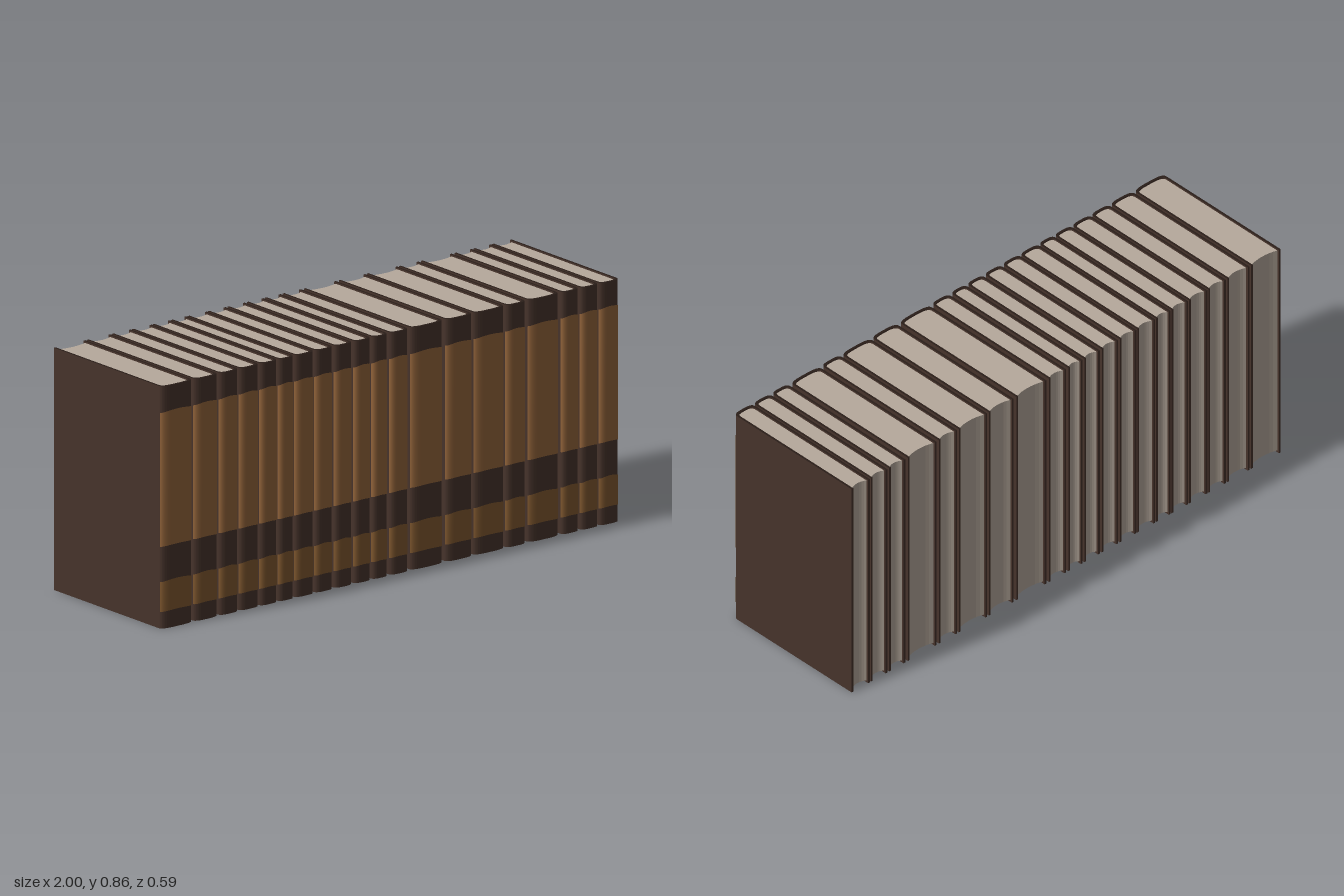
import * as THREE from 'three';

const mat = (name, color, side = THREE.FrontSide) => {
  const m = new THREE.MeshStandardMaterial({ color, side });
  m.name = name;
  return m;
};

const HEIGHT = 0.862, BACK = -0.295, SHOULDER = 0.268, ROUND = 0.025, BOARD = 0.008;

// left and right edge of every volume along the row
const EDGES = [
  [-1, -0.862], [-0.855, -0.752], [-0.745, -0.663], [-0.658, -0.573], [-0.568, -0.492],
  [-0.487, -0.42], [-0.415, -0.332], [-0.327, -0.25], [-0.242, -0.166], [-0.157, -0.085],
  [-0.077, -0.01], [0, 0.08], [0.092, 0.232], [0.245, 0.36], [0.368, 0.5],
  [0.508, 0.593], [0.604, 0.738], [0.75, 0.825], [0.833, 0.91], [0.915, 1],
];

// rounded spine curve as [x, z], from +x to -x
function spineCurve(halfWidth, inset, start = 0, steps = 18) {
  const points = [];
  for (let i = 0; i <= steps; i++) {
    const a = start + (Math.PI - 2 * start) * i / steps;
    const c = Math.cos(a), s = Math.max(0, Math.sin(a));
    points.push([
      (halfWidth - inset) * Math.sign(c) * Math.abs(c) ** 0.6,
      SHOULDER - inset + ROUND * s ** 0.6,
    ]);
  }
  return points;
}

// plan outline given as [x, z], raised from y0 to y1
function raise(points, y0, y1) {
  const shape = new THREE.Shape(points.map(([x, z]) => new THREE.Vector2(x, -z)));
  const geometry = new THREE.ExtrudeGeometry(shape, { depth: y1 - y0, bevelEnabled: false });
  return geometry.rotateX(-Math.PI / 2).translate(0, y0, 0);
}

// thin painted band following the spine, its top edge dipping at the sides
function bandGeometry(halfWidth, y0, y1) {
  const curve = spineCurve(halfWidth, -0.0015, 0.3);
  const positions = [], index = [];
  curve.forEach(([x, z], i) => {
    const dip = 0.008 * (x / halfWidth) ** 2;
    positions.push(x, y0 - dip / 2, z, x, y1 - dip, z);
    if (i < curve.length - 1) {
      const b = 2 * i;
      index.push(b, b + 1, b + 2, b + 2, b + 1, b + 3);
    }
  });
  const geometry = new THREE.BufferGeometry();
  geometry.setAttribute('position', new THREE.Float32BufferAttribute(positions, 3));
  geometry.setIndex(index);
  geometry.computeVertexNormals();
  return geometry;
}

export function createModel() {
  const leather = mat('dark leather', 0x46332b);
  const edge = mat('dark cover edge', 0x2a1e19);
  const tan = mat('tan leather', 0x94653b, THREE.DoubleSide);
  const lowTan = mat('deep tan leather', 0x80582f, THREE.DoubleSide);
  const paper = mat('paper', 0xb6a99c);

  const model = new THREE.Group();
  model.name = 'bookRow';

  EDGES.forEach(([left, right], n) => {
    const half = (right - left) / 2;
    const book = new THREE.Group();
    book.name = `book${n + 1}`;
    book.position.x = (left + right) / 2;
    const add = (name, geometry, material) => {
      const mesh = new THREE.Mesh(geometry, material);
      mesh.name = name;
      book.add(mesh);
    };

    // cover: two boards joined by the rounded spine
    const inner = half - BOARD;
    const outline = [
      [half, BACK], ...spineCurve(half, 0), [-half, BACK],
      [-inner, BACK], ...spineCurve(half, BOARD).reverse(), [inner, BACK],
    ];
    add('cover', raise(outline, 0, HEIGHT), [edge, leather]);

    // page block with a hollow fore edge
    const pages = spineCurve(half, BOARD);
    for (let i = 0; i <= 8; i++) {
      const t = -1 + i / 4;
      pages.push([inner * t, -0.287 + 0.01 * (1 - t * t)]);
    }
    add('pages', raise(pages, 0.008, HEIGHT - 0.006), paper);

    // painted spine panels
    add('upperSpinePanel', bandGeometry(half, 0.295, 0.775), tan);
    add('lowerSpinePanel', bandGeometry(half, 0.063, 0.173), lowTan);
    model.add(book);
  });
  return model;
}
